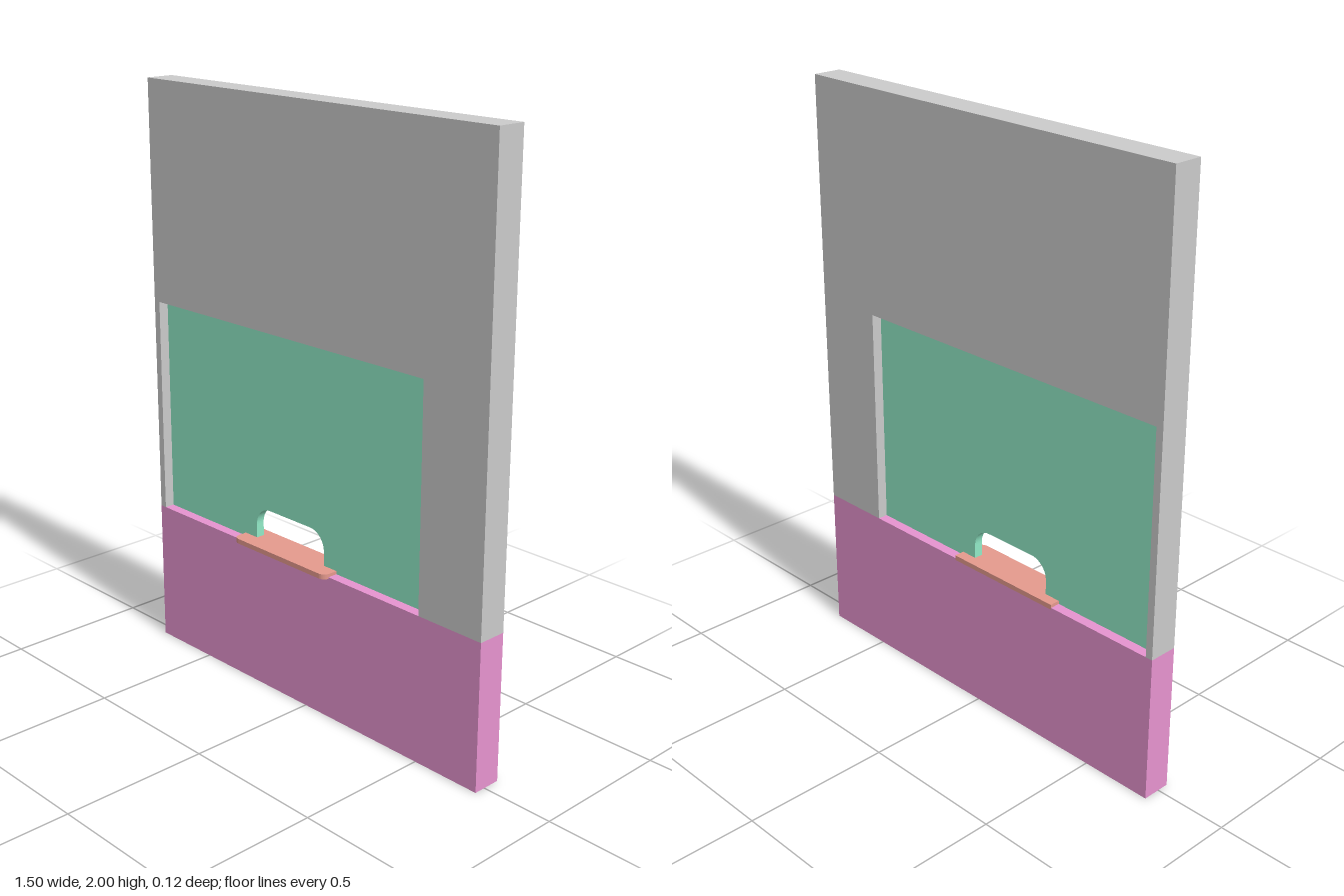
import * as THREE from 'three';

const BACK = -0.06, DEPTH = 0.1; // wall thickness range in z
const LEFT = -0.725, RIGHT = 0.5, SILL = 0.5, HEAD = 1.25; // window opening

function polygon(points) {
  return new THREE.Shape(points.map(([x, y]) => new THREE.Vector2(x, y)));
}

function extrude(shape, depth) {
  return new THREE.ExtrudeGeometry(shape, { depth, bevelEnabled: false, curveSegments: 8 });
}

function addPart(group, name, geometry, color) {
  const mesh = new THREE.Mesh(geometry, new THREE.MeshStandardMaterial({ color }));
  mesh.name = name;
  group.add(mesh);
  return mesh;
}

export function createModel() {
  const group = new THREE.Group();
  group.name = 'serviceWindowWall';

  // Lower wall whose top forms the sill
  const lower = addPart(group, 'lowerWall', new THREE.BoxGeometry(1.5, SILL, DEPTH), 0xe794d0);
  lower.position.set(0, SILL / 2, BACK + DEPTH / 2);

  // Upper wall, open at the bottom around the window
  const upper = polygon([
    [-0.75, SILL], [LEFT, SILL], [LEFT, HEAD], [RIGHT, HEAD],
    [RIGHT, SILL], [0.75, SILL], [0.75, 2], [-0.75, 2],
  ]);
  addPart(group, 'upperWall', extrude(upper, DEPTH), 0xcccccc).position.z = BACK;

  // Window pane with a round-cornered pass-through at the sill
  const x0 = -0.275, x1 = 0.05, top = 0.625, r = 0.065;
  const pane = new THREE.Shape();
  pane.moveTo(LEFT, SILL);
  pane.lineTo(x0, SILL);
  pane.lineTo(x0, top - r);
  pane.absarc(x0 + r, top - r, r, Math.PI, Math.PI / 2, true);
  pane.lineTo(x1 - r, top);
  pane.absarc(x1 - r, top - r, r, Math.PI / 2, 0, true);
  pane.lineTo(x1, SILL);
  pane.lineTo(RIGHT, SILL);
  pane.lineTo(RIGHT, HEAD);
  pane.lineTo(LEFT, HEAD);
  addPart(group, 'windowPane', extrude(pane, 0.03), 0x92ebc8).position.z = -0.025;

  // Thin tray let into the sill, front corners rounded (drawn with y = -z)
  const t0 = -0.333, t1 = 0.108, front = -0.06, back = 0.061, c = 0.025;
  const tray = new THREE.Shape();
  tray.moveTo(t0, back);
  tray.lineTo(t0, front + c);
  tray.absarc(t0 + c, front + c, c, Math.PI, Math.PI * 1.5, false);
  tray.lineTo(t1 - c, front);
  tray.absarc(t1 - c, front + c, c, Math.PI * 1.5, Math.PI * 2, false);
  tray.lineTo(t1, back);
  const trayGeometry = extrude(tray, 0.017).rotateX(-Math.PI / 2);
  addPart(group, 'tray', trayGeometry, 0xe69a8e).position.y = 0.494;

  return group;
}
